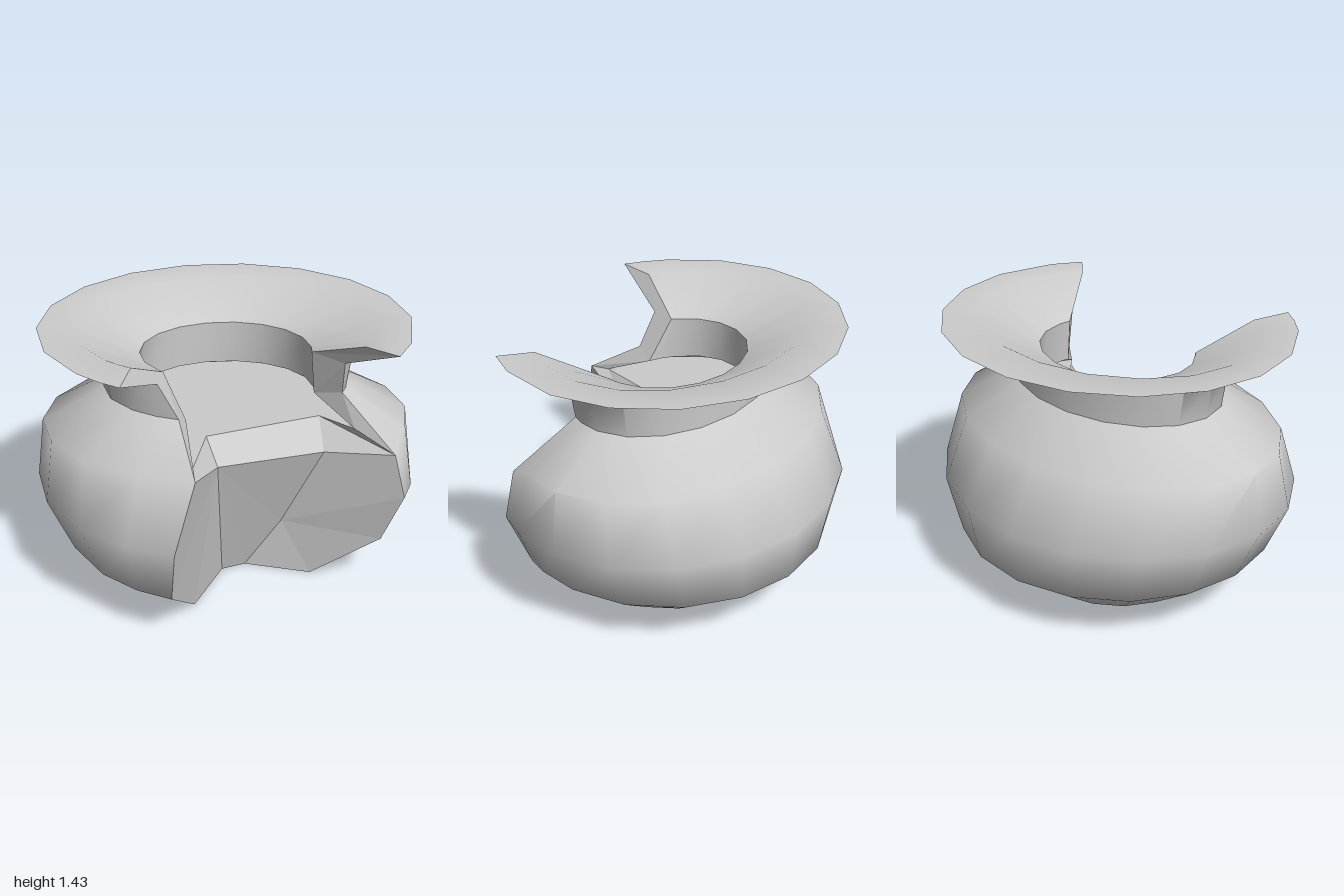
import * as THREE from 'three';
import { toCreasedNormals } from 'three/addons/utils/BufferGeometryUtils.js';

const CENTER_Z = 0.015;
const material = new THREE.MeshStandardMaterial({ color: 0xcccccc });
const doubleSided = new THREE.MeshStandardMaterial({ color: 0xcccccc, side: THREE.DoubleSide });
const V = (x, y, z) => new THREE.Vector3(x, y, z);

// Elliptical rings: height, x radius, z radius, break angle at +x side, break angle at -x side
const RINGS = [
  [0.00, 0.49, 0.47, -23, 246],
  [0.30, 0.87, 0.84, -23, 248],
  [0.595, 1.00, 0.885, -27, 252],
  [0.92, 0.955, 0.725, -28, 258],
  [1.10, 0.63, 0.45, -23, 245.6],
  [1.28, 0.66, 0.45, -28.5, 237],
  [1.43, 0.95, 0.86, -33.7, 236],
  // lip and inside, going back down
  [1.43, 0.78, 0.64, -33.6, 232],
  [1.28, 0.44, 0.36, -10, 222],
  [1.05, 0.46, 0.36, -10, 241],
  [0.93, 0.70, 0.62, -24, 253],
];

function ringPoints([y, rx, rz, start, end]) {
  const angles = [start, start * 0.65];
  for (let a = 0; a <= 220; a += 20) angles.push(a);
  angles.push(220 + (end - 220) * 0.55, end);
  return angles.map((deg) => {
    const a = THREE.MathUtils.degToRad(deg);
    return V(rx * Math.cos(a), y, CENTER_Z - rz * Math.sin(a));
  });
}

// Skin between successive rings
function skin(rings) {
  const n = rings[0].length, index = [];
  for (let k = 0; k < rings.length - 1; k++) {
    for (let i = 0; i < n - 1; i++) {
      const a = k * n + i, b = a + 1, c = a + n, d = c + 1;
      index.push(a, b, d, a, d, c);
    }
  }
  const g = new THREE.BufferGeometry().setFromPoints(rings.flat());
  g.setIndex(index);
  return toCreasedNormals(g, THREE.MathUtils.degToRad(55));
}

// Flat-sided polygons, each drawn as a fan from its first corner
function facets(polygons) {
  const points = [];
  for (const p of polygons) {
    for (let i = 1; i < p.length - 1; i++) points.push(p[0], p[i], p[i + 1]);
  }
  const g = new THREE.BufferGeometry().setFromPoints(points);
  g.computeVertexNormals();
  return g;
}

// Horizontal polygon facing up (1) or down (-1)
function level(points, y, facing) {
  const shape = new THREE.Shape(points.map((p) => new THREE.Vector2(p.x, -facing * p.z)));
  return new THREE.ShapeGeometry(shape).rotateX(-facing * Math.PI / 2).translate(0, y, 0);
}

export function createModel() {
  const group = new THREE.Group();
  const add = (name, geometry, mat = material) => {
    const mesh = new THREE.Mesh(geometry, mat);
    mesh.name = name;
    group.add(mesh);
  };

  const rings = RINGS.map(ringPoints);
  rings[3][0].set(0.83, 0.84, 0.40); // chipped corner of the shoulder
  const R = rings.map((r) => r[0]);
  const L = rings.map((r) => r[r.length - 1]);

  // Corners of the broken front
  const topLeft = V(-0.12, 0.93, 0.29), topRight = V(0.48, 0.93, 0.11);
  const midLeft = V(-0.07, 0.81, 0.40), midRight = V(0.49, 0.79, 0.25);
  const knee = V(0.29, 0.31, 0.14);
  const baseLeft = V(-0.03, 0, 0.13), baseRight = V(0.10, 0, 0.09);

  add('potWall', skin(rings));
  add('base', level([...rings[0], baseLeft, baseRight], 0, -1));
  add('fillSurface', level([...rings[10], topLeft, topRight], 0.93, 1));

  // Wall thickness where the shoulder, neck and rim are broken
  const section = (e) => [
    [e[3], e[4], e[9], e[10]],
    [e[4], e[5], e[8], e[9]],
    [e[5], e[6], e[7], e[8]],
  ];
  add('leftWallBreak', facets(section(R).map((p) => p.reverse())), doubleSided);
  add('rightWallBreak', facets(section(L)), doubleSided);

  // Faceted break through the solid body
  add('bodyBreak', facets([
    [midLeft, topLeft, L[10], L[3], L[2], L[1], L[0], baseLeft],
    [midLeft, baseLeft, baseRight, knee, midRight],
    [midLeft, midRight, topRight, topLeft],
    [knee, baseRight, R[0], R[1], R[2], R[3], midRight],
    [topRight, midRight, R[3], R[10]],
  ]), doubleSided);

  return group;
}
